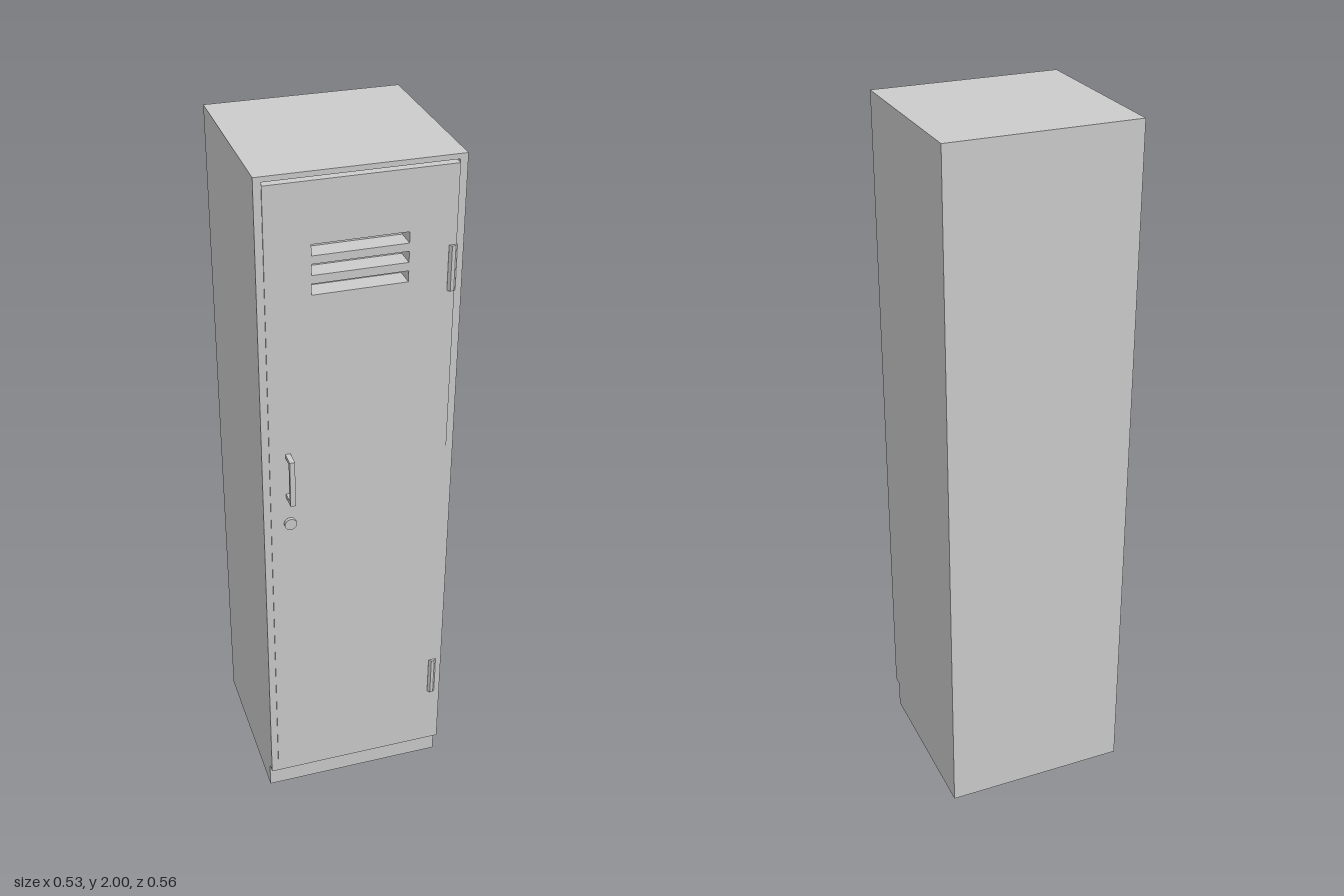
import * as THREE from 'three';

const material = new THREE.MeshStandardMaterial({ color: 0xcccccc, flatShading: true });

function add(parent, name, geometry, x = 0, y = 0, z = 0) {
  const mesh = new THREE.Mesh(geometry, material);
  mesh.name = name;
  mesh.position.set(x, y, z);
  parent.add(mesh);
  return mesh;
}

// Box given by its limits on each axis
function addBox(parent, name, x0, x1, y0, y1, z0, z1) {
  return add(parent, name, new THREE.BoxGeometry(x1 - x0, y1 - y0, z1 - z0),
    (x0 + x1) / 2, (y0 + y1) / 2, (z0 + z1) / 2);
}

function rectangle(path, x0, x1, y0, y1) {
  path.moveTo(x0, y0);
  path.lineTo(x1, y0);
  path.lineTo(x1, y1);
  path.lineTo(x0, y1);
  path.closePath();
  return path;
}

// Flat sheet with rectangular openings, extruded from z0 to z1
function sheet(limits, openings, z0, z1) {
  const shape = rectangle(new THREE.Shape(), ...limits);
  for (const o of openings) shape.holes.push(rectangle(new THREE.Path(), ...o));
  const geometry = new THREE.ExtrudeGeometry(shape, { depth: z1 - z0, bevelEnabled: false });
  return geometry.translate(0, 0, z0);
}

export function createModel() {
  const locker = new THREE.Group();
  locker.name = 'locker';

  const half = 0.267, back = -0.28, front = 0.232, inner = 0.18, doorFace = 0.235;
  const vents = [1.695, 1.748, 1.8].map((y) => [-0.128, 0.123, y - 0.015, y + 0.015]);
  const topGap = [-0.247, 0.247, 1.978, 1.986];

  // Cabinet with a recessed plinth
  addBox(locker, 'cabinet', -half, half, 0.08, 2, back, inner);
  addBox(locker, 'plinth', -half, half, 0, 0.08, back, 0.205);
  add(locker, 'frontFrame', sheet([-half, half, 0.08, 2], [...vents, topGap], inner, front));

  // Door skin with ventilation slots
  add(locker, 'door', sheet([-0.247, 0.247, 0.1, 1.978], vents, front, doorFace));

  // Hinges on the left edge
  for (const y of [0.342, 1.703]) {
    const hinge = add(locker, 'hinge', new THREE.CylinderGeometry(0.012, 0.012, 0.125, 8), 0.238, y, 0.231);
    hinge.rotation.y = Math.PI / 8;
  }

  // Pull handle: grip and two posts
  const handle = new THREE.Group();
  handle.name = 'handle';
  locker.add(handle);
  addBox(handle, 'grip', -0.204, -0.19, 1.09, 1.228, 0.267, 0.279);
  for (const y of [1.09, 1.216]) {
    addBox(handle, 'handlePost', -0.204, -0.19, y, y + 0.012, front, 0.267);
  }

  // Round lock
  const lock = new THREE.CylinderGeometry(0.017, 0.017, 0.014, 16).rotateX(Math.PI / 2);
  add(locker, 'lock', lock, -0.195, 1.006, 0.238);

  return locker;
}
